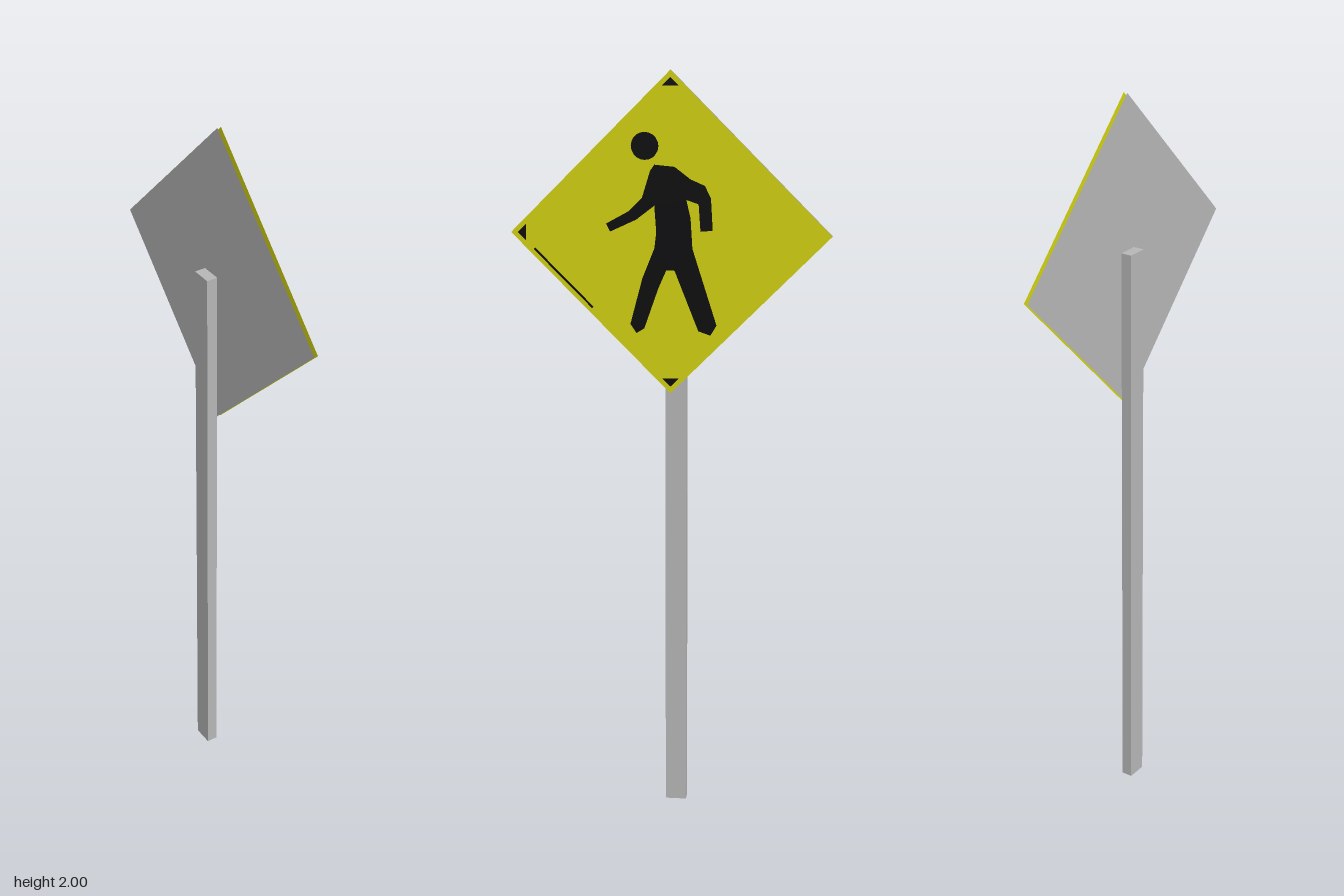
import * as THREE from 'three';

const material = (name, color) => {
  const m = new THREE.MeshStandardMaterial({ color, side: THREE.DoubleSide });
  m.name = name;
  return m;
};

export function createModel() {
  const grey = material('galvanised grey', 0xb6b6b6);
  const yellow = material('warning yellow', 0xd2d210);
  const black = material('black', 0x0c0c0e);

  const model = new THREE.Group();
  model.name = 'crossingSign';

  const add = (parent, name, geometry, mat, x = 0, y = 0, z = 0) => {
    const mesh = new THREE.Mesh(geometry, mat);
    mesh.name = name;
    mesh.position.set(x, y, z);
    parent.add(mesh);
    return mesh;
  };
  const flat = (points) =>
    new THREE.ShapeGeometry(new THREE.Shape(points.map(([x, y]) => new THREE.Vector2(x, y))));

  // Square post behind the panel
  add(model, 'post', new THREE.BoxGeometry(0.03, 1.594, 0.056), grey, -0.0125, 0.797, -0.0125);

  // Panel group: drawn in its own xy plane, then turned to face +x
  const panel = new THREE.Group();
  panel.name = 'signPanel';
  panel.position.y = 1.578;
  panel.rotation.y = Math.PI / 2;
  model.add(panel);

  // Two thin diamond sheets with a narrow gap
  const r = 0.422;
  const diamond = flat([[0, -r], [r, 0], [0, r], [-r, 0]]);
  add(panel, 'backSheet', diamond, grey, 0, 0, 0.012);
  add(panel, 'frontSheet', diamond, yellow, 0, 0, 0.0225);

  // Walking figure
  const markZ = 0.0235;
  const body = [
    [-0.042, 0.18], [0.011, 0.175], [0.053, 0.143], [0.09, 0.127], [0.106, 0.095], // shoulders
    [0.111, 0.011], [0.079, 0.008], [0.074, 0.079], [0.042, 0.09], // rear arm
    [0.053, 0.042], [0.058, -0.037], [0.122, -0.238], [0.106, -0.265], [0.074, -0.254], // rear leg
    [0.011, -0.095], [-0.011, -0.095], [-0.032, -0.143], // crotch
    [-0.069, -0.249], [-0.09, -0.262], [-0.106, -0.238], [-0.074, -0.117], // front leg
    [-0.042, -0.037], [-0.037, 0.005], [-0.042, 0.074], // chest
    [-0.09, 0.037], [-0.159, 0.005], [-0.169, 0.026], [-0.111, 0.058], [-0.074, 0.095], // front arm
    [-0.053, 0.164],
  ];
  add(panel, 'walkerBody', flat(body), black, 0, 0, markZ);
  add(panel, 'walkerHead', new THREE.CircleGeometry(0.036, 20), black, -0.067, 0.228, markZ);

  // Worn border marks: small corner tips and a streak on one edge
  const tip = flat([[0, -0.012], [0.022, 0.01], [-0.022, 0.01]]);
  for (const [name, x, y, turn] of [
    ['bottomMark', 0, -0.392, 0], ['topMark', 0, 0.392, Math.PI], ['sideMark', -0.392, 0, -Math.PI / 2],
  ]) add(panel, name, tip, black, x, y, markZ).rotation.z = turn;
  const streak = flat([[-0.362, -0.044], [-0.208, -0.198], [-0.204, -0.194], [-0.358, -0.04]]);
  add(panel, 'edgeStreak', streak, black, 0, 0, markZ);

  return model;
}
